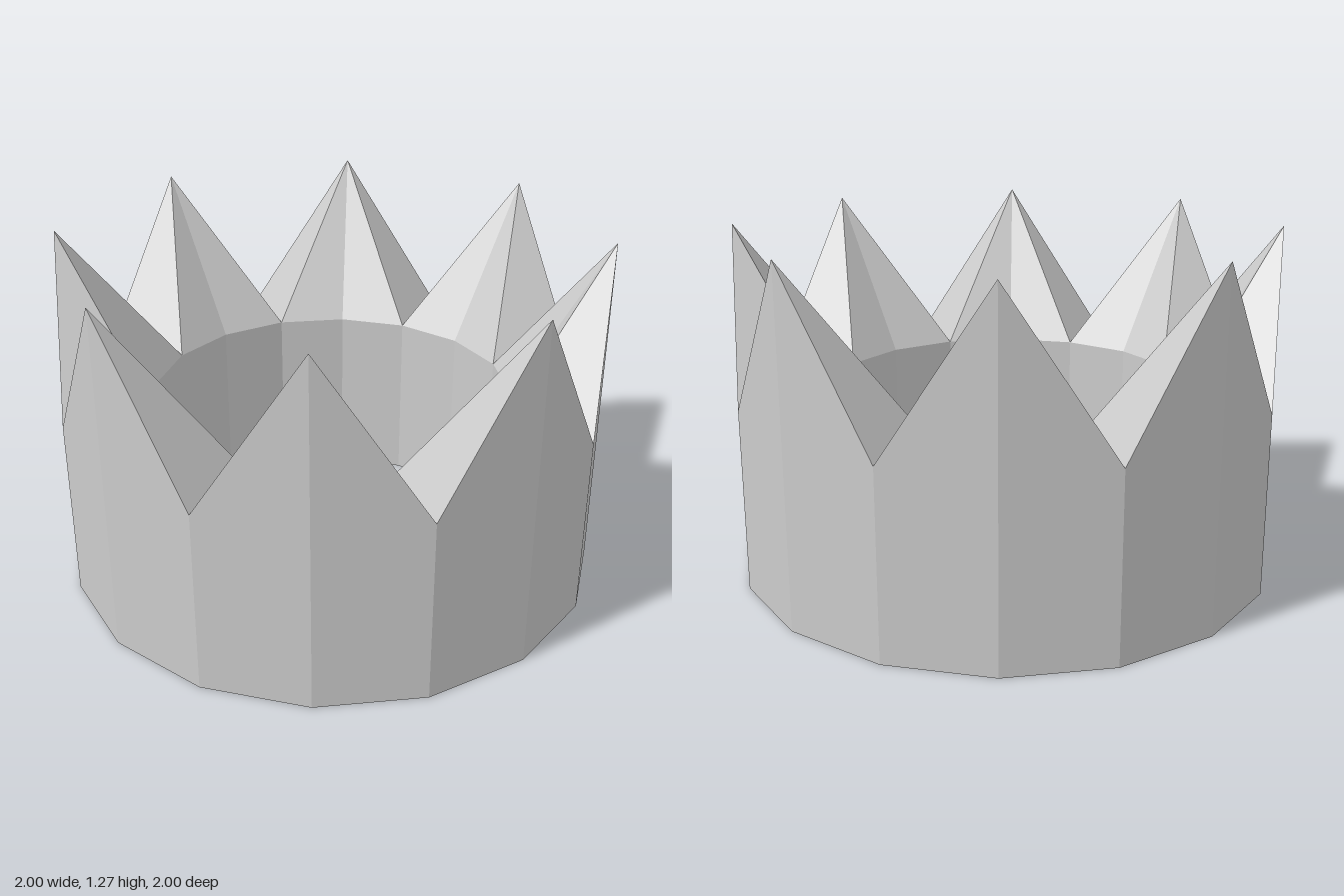
import * as THREE from 'three';

const SIDES = 16;
const OUTER = 1, INNER = 0.665;
const PEAK = 1.27, RIM = 0.675;

// Point on the ring; step 0 is at the front, going towards +x
function ringPoint(step, radius, y) {
  const a = ((step % SIDES) / SIDES) * Math.PI * 2;
  return [Math.sin(a) * radius, y, Math.cos(a) * radius];
}

function crownGeometry() {
  const positions = [];
  // Quad split along a-c
  const quad = (a, b, c, d) => positions.push(...a, ...b, ...c, ...a, ...c, ...d);
  const outerTop = (i) => ringPoint(i, OUTER, i % 2 === 0 ? PEAK : RIM);
  const outerBase = (i) => ringPoint(i, OUTER, 0);
  const innerTop = (i) => ringPoint(i, INNER, RIM);
  const innerBase = (i) => ringPoint(i, INNER, 0);

  for (let i = 0; i < SIDES; i++) {
    const j = i + 1;
    // Outer wall
    quad(outerBase(i), outerBase(j), outerTop(j), outerTop(i));
    // Inner wall
    quad(innerBase(j), innerBase(i), innerTop(i), innerTop(j));
    // Underside
    quad(innerBase(i), innerBase(j), outerBase(j), outerBase(i));
    // Spike slopes, creased from each peak to the inner valley points
    if (i % 2 === 0) quad(outerTop(i), outerTop(j), innerTop(j), innerTop(i));
    else quad(outerTop(j), innerTop(j), innerTop(i), outerTop(i));
  }

  const geometry = new THREE.BufferGeometry();
  geometry.setAttribute('position', new THREE.Float32BufferAttribute(positions, 3));
  geometry.computeVertexNormals();
  return geometry;
}

export function createModel() {
  const group = new THREE.Group();
  group.name = 'crown';
  const material = new THREE.MeshStandardMaterial({ color: 0xcccccc, flatShading: true });
  const band = new THREE.Mesh(crownGeometry(), material);
  band.name = 'spikedBand';
  group.add(band);
  return group;
}
